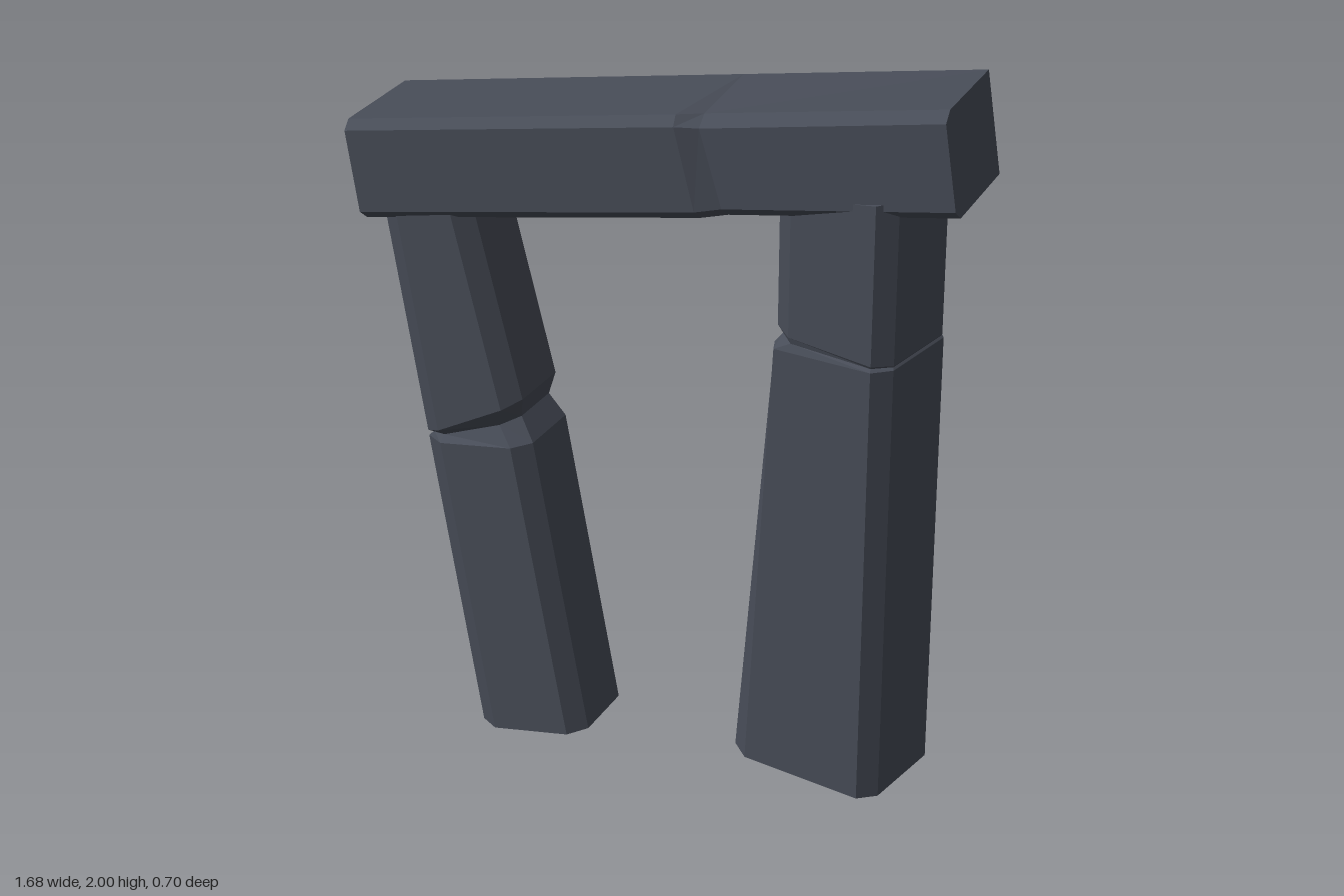
import * as THREE from 'three';

const stone = new THREE.MeshStandardMaterial({ color: 0x474c57 });
stone.name = 'dark slate';

// Skin a list of equal-length rings with flat facets and close both ends.
function loft(name, rings) {
  const pos = [];
  const tri = (a, b, c) => pos.push(...a, ...b, ...c);
  const n = rings[0].length;
  for (let i = 0; i < rings.length - 1; i++) {
    for (let j = 0; j < n; j++) {
      const k = (j + 1) % n;
      const [p, q, p2, q2] = [rings[i][j], rings[i][k], rings[i + 1][j], rings[i + 1][k]];
      tri(p, q, p2);
      tri(q, q2, p2);
    }
  }
  const first = rings[0], last = rings[rings.length - 1];
  for (let j = 1; j < n - 1; j++) {
    tri(first[0], first[j + 1], first[j]);
    tri(last[0], last[j], last[j + 1]);
  }
  const geo = new THREE.BufferGeometry();
  geo.setAttribute('position', new THREE.Float32BufferAttribute(pos, 3));
  geo.computeVertexNormals();
  const mesh = new THREE.Mesh(geo, stone);
  mesh.name = name;
  return mesh;
}

// Horizontal rectangle with cut corners; cl and cr are the cuts along x,
// tilt raises or lowers the ring across its width.
function pillarRing(y, x0, x1, z0, z1, cl, cr, tilt = 0, c = 0.045) {
  return [
    [x0 + cl, z1], [x1 - cr, z1], [x1, z1 - c], [x1, z0 + c],
    [x1 - cr, z0], [x0 + cl, z0], [x0, z0 + c], [x0, z1 - c],
  ].map(([x, z]) => [x, y + tilt * (x1 - x) / (x1 - x0), z]);
}

// Upright section of the lintel: square at the back, chipped along the front.
function lintelRing(u, slant, top, inner, outerY, front) {
  return [
    [0.135, -0.175], [top, inner], [outerY, front],
    [-0.11, front], [-0.135, front - 0.03], [-0.135, -0.175],
  ].map(([y, z]) => [u + slant * (0.135 - y), y, z]);
}

export function createModel() {
  const model = new THREE.Group();
  model.name = 'stoneArch';

  // Sloping lintel with a chipped step in the front face
  const lintel = loft('lintel', [
    lintelRing(-0.815, 0, 0.135, 0.145, 0.112, 0.175),
    lintelRing(0.11, 0.1, 0.135, 0.145, 0.112, 0.175),
    lintelRing(0.165, 0.14, 0.122, 0.1, 0.1, 0.152),
    lintelRing(0.815, 0, 0.135, 0.135, 0.112, 0.175),
  ]);
  lintel.rotation.set(0, 0.218, 0.152, 'YXZ');
  lintel.position.y = 1.742;
  model.add(lintel);

  // Upright pillar, tapering to a crack and straight above it
  model.add(loft('straightPillar', [
    pillarRing(0.06, 0.235, 0.69, -0.29, 0.045, 0.06, 0.04),
    pillarRing(1.305, 0.34, 0.69, -0.29, 0.045, 0.025, 0.04, -0.01),
    pillarRing(1.31, 0.36, 0.685, -0.284, 0.036, 0.05, 0.04, 0.01),
    pillarRing(1.315, 0.345, 0.688, -0.286, 0.04, 0.06, 0.04, 0.025),
    pillarRing(1.75, 0.345, 0.688, -0.286, 0.04, 0.06, 0.04, -0.05),
  ]));

  // Leaning pillar with a wedge broken out of its inner side
  const leaning = loft('leaningPillar', [
    pillarRing(0, -0.165, 0.168, -0.14, 0.14, 0.06, 0.045),
    pillarRing(0.86, -0.165, 0.155, -0.14, 0.14, 0.06, 0.045, 0.01),
    pillarRing(0.925, -0.165, 0.118, -0.135, 0.112, 0.06, 0.045, -0.055),
    pillarRing(0.985, -0.165, 0.147, -0.14, 0.14, 0.06, 0.045, -0.1),
    pillarRing(1.56, -0.165, 0.1, -0.14, 0.14, 0.06, 0.045),
  ]);
  leaning.rotation.set(0, 0.17, 0.165, 'YXZ');
  leaning.position.set(-0.322, 0.028, 0.1);
  model.add(leaning);

  return model;
}
